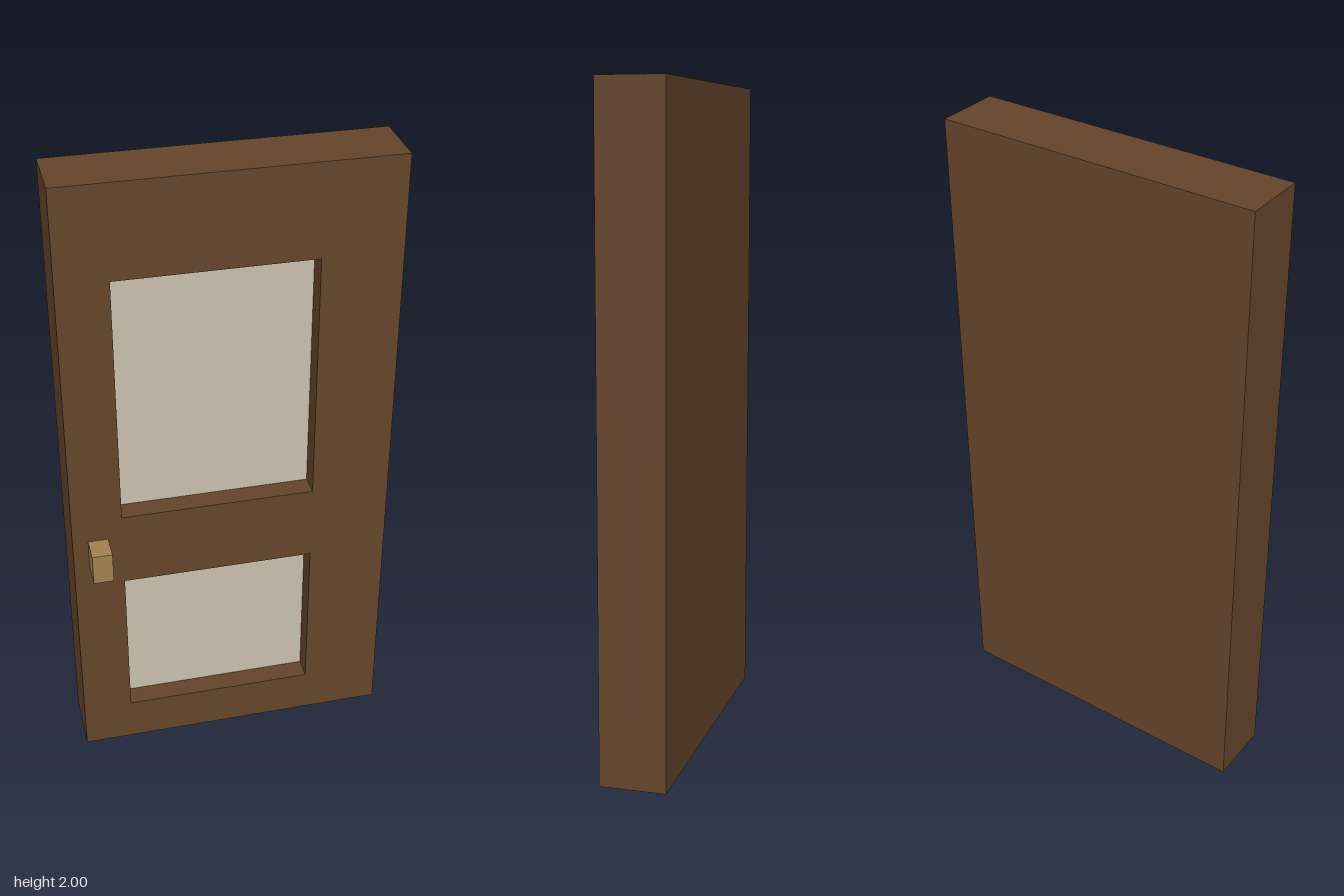
import * as THREE from 'three';

const material = (name, color) => {
  const m = new THREE.MeshStandardMaterial({ color });
  m.name = name;
  return m;
};

// Rectangle corners, used for both the frame outline and its openings
const corners = (x0, x1, y0, y1) => [
  new THREE.Vector2(x0, y0), new THREE.Vector2(x1, y0),
  new THREE.Vector2(x1, y1), new THREE.Vector2(x0, y1),
];

export function createModel() {
  const wood = material('brown wood', 0x65452b);
  const cream = material('cream panel', 0xcac1ae);
  const brass = material('brass', 0xa38150);

  const door = new THREE.Group();
  door.name = 'door';

  const add = (name, geometry, mat, x = 0, y = 0, z = 0) => {
    const mesh = new THREE.Mesh(geometry, mat);
    mesh.name = name;
    mesh.position.set(x, y, z);
    door.add(mesh);
  };

  const back = -0.14, recess = -0.01, front = 0.06;
  const openings = [
    { name: 'upperPanel', x0: -0.345, x1: 0.255, y0: 0.91, y1: 1.71 },
    { name: 'lowerPanel', x0: -0.345, x1: 0.255, y0: 0.145, y1: 0.665 },
  ];

  // Solid slab behind the frame
  add('backSlab', new THREE.BoxGeometry(1, 2, recess - back), wood, 0, 1, (back + recess) / 2);

  // Front frame with two openings
  const outline = new THREE.Shape(corners(-0.5, 0.5, 0, 2));
  for (const o of openings) outline.holes.push(new THREE.Path(corners(o.x0, o.x1, o.y0, o.y1)));
  add('frame', new THREE.ExtrudeGeometry(outline, { depth: front - recess, bevelEnabled: false }),
    wood, 0, 0, recess);

  // Thin pale panels at the bottom of each recess
  for (const o of openings) {
    add(o.name, new THREE.BoxGeometry(o.x1 - o.x0, o.y1 - o.y0, 0.004), cream,
      (o.x0 + o.x1) / 2, (o.y0 + o.y1) / 2, recess);
  }

  // Block handle
  add('handle', new THREE.BoxGeometry(0.062, 0.1, 0.08), brass, -0.421, 0.787, front + 0.04);

  return door;
}
